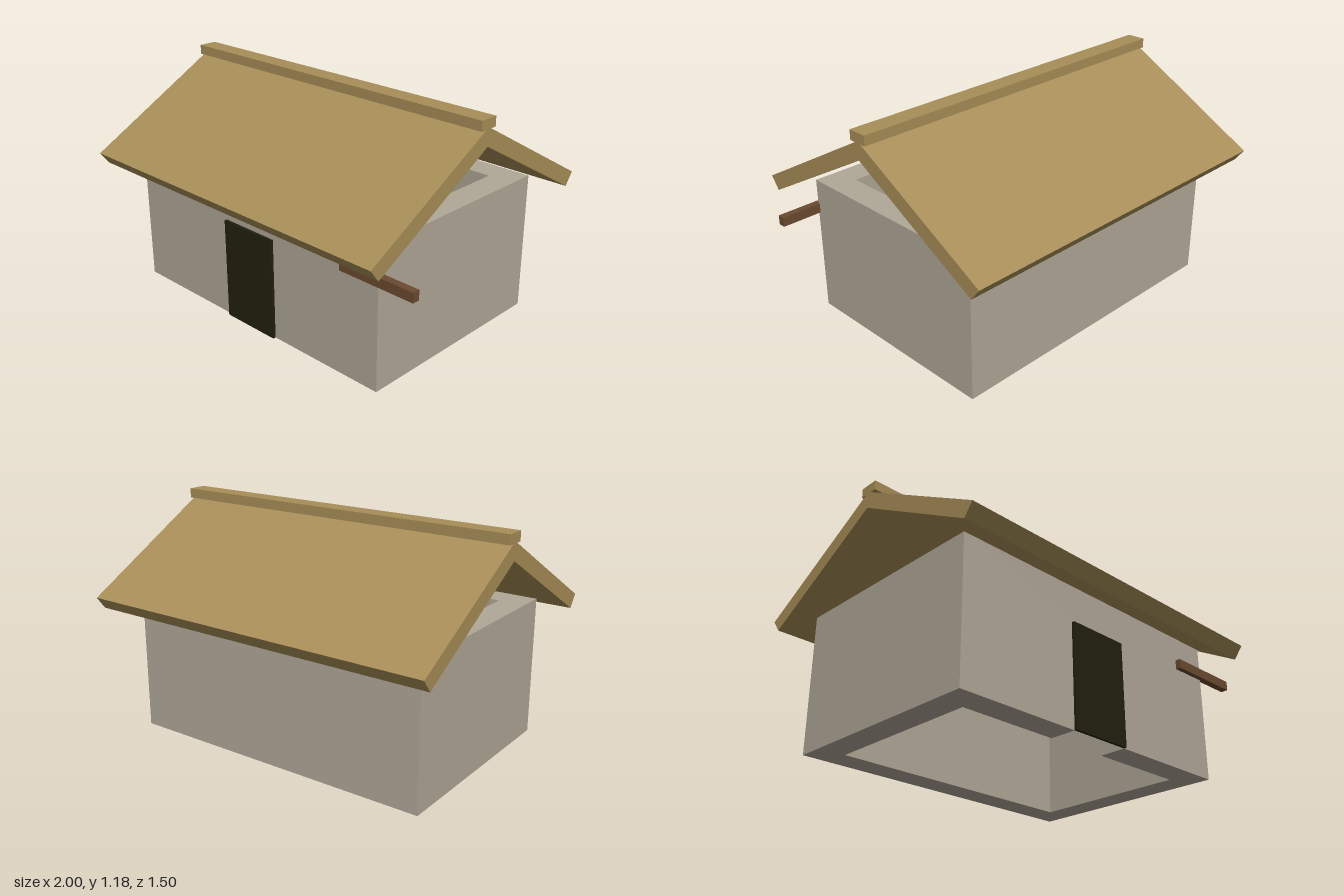
import * as THREE from 'three';

const mat = (name, color) => {
  const m = new THREE.MeshStandardMaterial({ color });
  m.name = name;
  return m;
};

export function createModel() {
  const house = new THREE.Group();
  house.name = 'house';
  const stone = mat('stone', 0xb0a797);
  const thatch = mat('thatch', 0xa88e58);
  const wood = mat('wood', 0x6b4a30);
  const dark = mat('dark door', 0x21200f);

  const add = (name, geometry, material, parent = house) => {
    const mesh = new THREE.Mesh(geometry, material);
    mesh.name = name;
    parent.add(mesh);
    return mesh;
  };
  // box given by its minimum and maximum corners
  const box = (name, material, [x0, y0, z0], [x1, y1, z1], parent) =>
    add(name, new THREE.BoxGeometry(x1 - x0, y1 - y0, z1 - z0)
      .translate((x0 + x1) / 2, (y0 + y1) / 2, (z0 + z1) / 2), material, parent);
  const extrude = (points, depth) => new THREE.ExtrudeGeometry(
    new THREE.Shape(points.map(([x, y]) => new THREE.Vector2(x, y))),
    { depth, bevelEnabled: false });

  // hollow walls, open above and below
  const L = -0.875, R = 0.787, H = 0.722, Z = 0.555, T = 0.139;
  const doorL = -0.21, doorR = 0.125, doorH = 0.53;
  const walls = new THREE.Group();
  walls.name = 'walls';
  house.add(walls);
  box('backWall', stone, [L, 0, -Z], [R, H, -Z + T], walls);
  box('rightWall', stone, [L, 0, -Z + T], [L + T, H, Z - T], walls);
  box('leftWall', stone, [R - T, 0, -Z + T], [R, H, Z - T], walls);

  // front wall with a doorway notch
  add('frontWall', extrude([
    [L, 0], [doorL, 0], [doorL, doorH], [doorR, doorH],
    [doorR, 0], [R, 0], [R, H], [L, H],
  ], T).translate(0, 0, Z - T), stone, walls);

  // door panel covering the doorway
  box('door', dark, [doorL, 0, Z], [doorR, doorH, 0.57]);

  // pitched roof: a chevron section run along x
  const roofL = -1, roofR = 0.915;
  add('roof', extrude([
    [0, 1.05], [0.7, 0.66], [0.748, 0.724],
    [0, 1.14], [-0.748, 0.724], [-0.7, 0.66],
  ], roofR - roofL).rotateY(Math.PI / 2).translate(roofL, 0, 0), thatch);
  box('ridgeCap', thatch, [roofL, 1.13, -0.05], [roofR, 1.18, 0.05]);

  // sign beam sticking out past the corner
  box('beam', wood, [0.58, 0.545, 0.543], [1, 0.594, 0.581]);

  return house;
}
